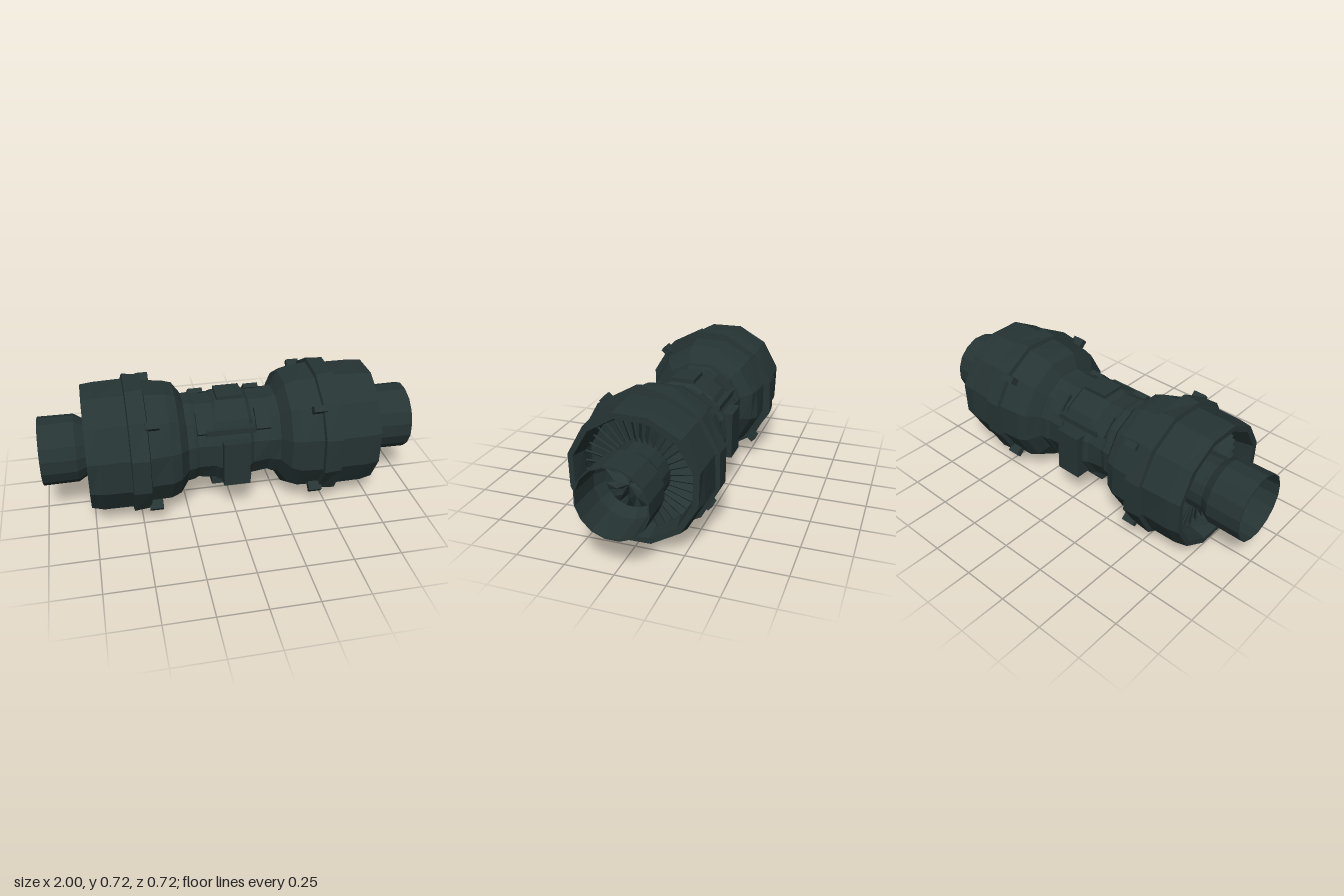
import * as THREE from 'three';

const AXIS_Y = 0.36;

export function createModel() {
  const model = new THREE.Group();
  const metal = new THREE.MeshStandardMaterial({ color: 0x263434, flatShading: true, side: THREE.DoubleSide });
  metal.name = 'dark teal metal';

  function add(parent, name, geometry) {
    const mesh = new THREE.Mesh(geometry, metal);
    mesh.name = name;
    parent.add(mesh);
    return mesh;
  }

  // Small worn-metal unevenness that depends only on position
  function wear(geometry, amount) {
    const p = geometry.attributes.position;
    for (let i = 0; i < p.count; i++) {
      const x = p.getX(i), y = p.getY(i), z = p.getZ(i);
      const k = 1 + amount * Math.sin(37 * x + 23 * y + 51 * z);
      p.setXYZ(i, x, y * k, z * k);
    }
    geometry.computeVertexNormals();
    return geometry;
  }

  // Turned shape along x from [x, radius] pairs, with flats up and down
  function turned(profile, sides, amount = 0.012) {
    const pts = profile.map(([x, r]) => new THREE.Vector2(r, x));
    const g = new THREE.LatheGeometry(pts, sides, Math.PI / sides);
    g.rotateZ(-Math.PI / 2);
    return wear(g, amount);
  }

  // One engine end, opening toward +x
  function engine(name, shoulder) {
    const end = new THREE.Group();
    end.name = name;
    add(end, 'housing', turned([
      [0.23, 0.2], [0.25, 0.25], [0.29, shoulder - 0.02], [0.34, shoulder], [0.45, shoulder + 0.01],
      [0.455, 0.368], [0.545, 0.37], [0.55, 0.345], [0.7, 0.343], [0.765, 0.335],
      [0.765, 0.305], [0.68, 0.29], [0.61, 0.285], [0.6, 0.14],
    ], 12));

    // Ring of angled blades inside the mouth
    const blades = new THREE.Group();
    blades.name = 'bladeRing';
    for (let i = 0; i < 36; i++) {
      const pivot = new THREE.Group();
      pivot.rotation.x = (i / 36) * Math.PI * 2;
      const blade = add(pivot, 'blade', new THREE.BoxGeometry(0.07, 0.14, 0.008));
      blade.position.set(0.64, 0.22, 0);
      blade.rotation.y = 0.6;
      blades.add(pivot);
    }
    end.add(blades);

    // Hollow shaft with a necked root
    add(end, 'shaft', turned([
      [0.6, 0.145], [0.765, 0.15], [0.815, 0.18], [1, 0.182],
      [1, 0.175], [0.82, 0.17], [0.76, 0.14],
    ], 16, 0.004));

    // Star-shaped plug deep in the shaft
    const plug = new THREE.ConeGeometry(0.15, 0.05, 24, 2);
    plug.rotateZ(-Math.PI / 2);
    const p = plug.attributes.position;
    for (let i = 0; i < p.count; i++) {
      const a = Math.atan2(p.getZ(i), p.getY(i));
      const r = Math.hypot(p.getY(i), p.getZ(i));
      if (r > 0.05 && r < 0.1) p.setX(i, p.getX(i) + 0.018 * Math.cos(12 * a));
    }
    plug.computeVertexNormals();
    add(end, 'starPlug', plug).position.x = 0.775;

    // Four diagonal lugs on the shoulder
    for (const a of [48, 132, 228, 312]) {
      const pivot = new THREE.Group();
      pivot.rotation.x = THREE.MathUtils.degToRad(a);
      add(pivot, 'lug', new THREE.BoxGeometry(0.07, 0.05, 0.035)).position.set(0.43, 0.358, 0);
      end.add(pivot);
    }
    end.position.y = AXIS_Y;
    model.add(end);
    return end;
  }
  engine('leftEngine', 0.335);
  engine('rightEngine', 0.322).rotation.y = Math.PI;

  // Middle coupling
  const coupling = new THREE.Group();
  coupling.name = 'coupling';
  coupling.position.y = AXIS_Y;
  add(coupling, 'core', turned([
    [-0.27, 0.245], [-0.21, 0.24], [-0.19, 0.232], [-0.1, 0.236], [-0.08, 0.25],
    [0.08, 0.25], [0.1, 0.234], [0.19, 0.232], [0.21, 0.24], [0.27, 0.245],
  ], 12, 0.02));

  // Side boxes, rails and raised plates
  for (const s of [-1, 1]) {
    add(coupling, 'sideBox', new THREE.BoxGeometry(0.14, 0.25, 0.1)).position.set(0, -0.035, s * 0.228);
    add(coupling, 'sideRail', new THREE.BoxGeometry(0.26, 0.03, 0.06)).position.set(-0.02, 0.13, s * 0.19);
    add(coupling, 'lowerRail', new THREE.BoxGeometry(0.22, 0.04, 0.06)).position.set(0, -0.225, s * 0.1);
    add(coupling, 'capPlate', new THREE.BoxGeometry(0.14, 0.03, 0.13)).position.set(0, s * 0.243, 0);
    for (const e of [-1, 1]) {
      const plate = add(coupling, 'slantedPlate', new THREE.BoxGeometry(0.08, 0.025, 0.12));
      plate.position.set(e * 0.155, 0.165, s * 0.165);
      plate.rotation.x = s * Math.PI / 4;
    }
  }
  model.add(coupling);
  return model;
}
